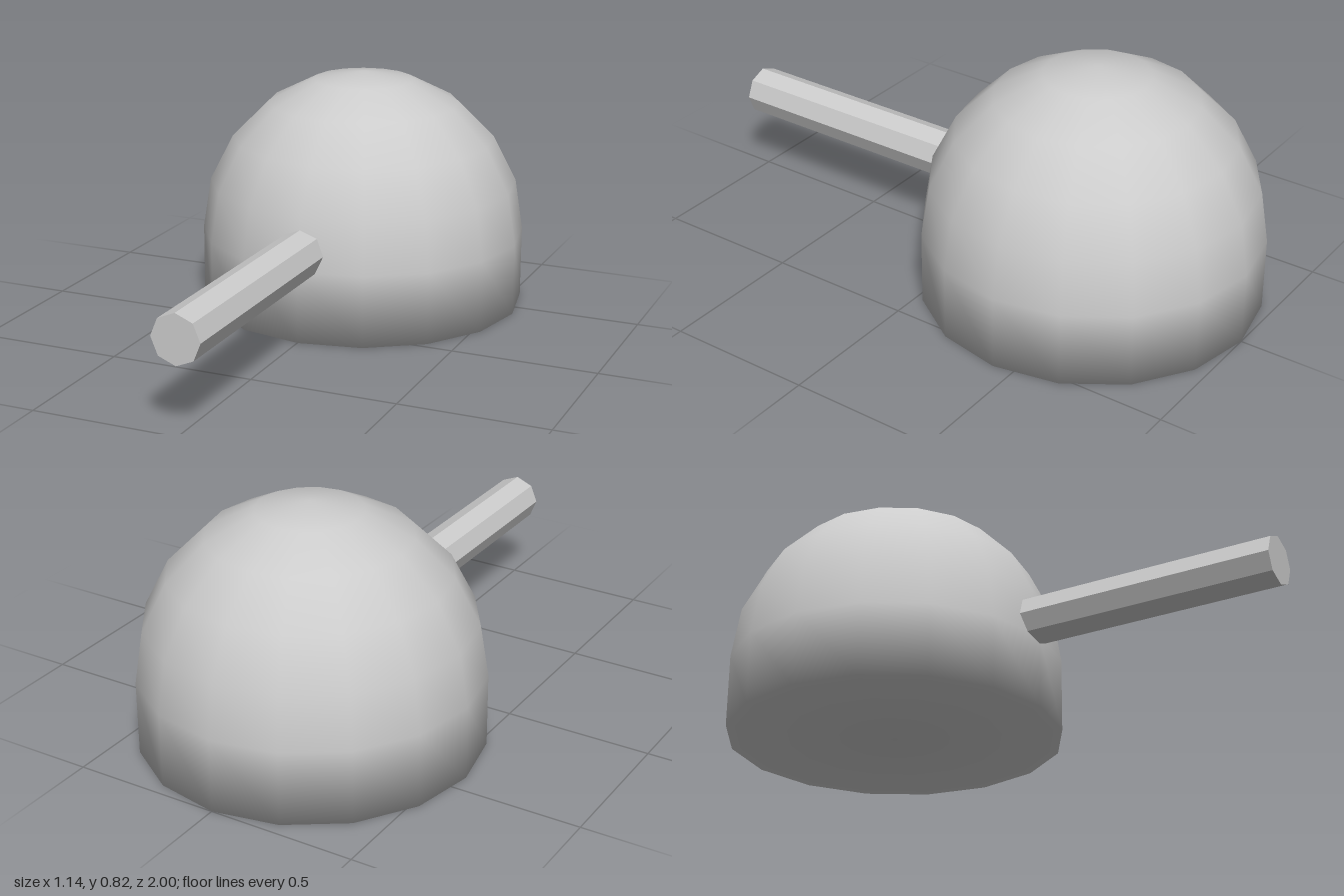
import * as THREE from 'three';
import { mergeVertices } from 'three/addons/utils/BufferGeometryUtils.js';

export function createModel() {
  const group = new THREE.Group();
  const R = 0.57, shoulder = 0.25, centreZ = -0.43;

  // Dome: closed base, short upright wall and a hemisphere, smooth all over
  const profile = [new THREE.Vector2(0, 0), new THREE.Vector2(R, 0)];
  const rings = 5;
  for (let i = 0; i <= rings; i++) {
    const a = (i / rings) * Math.PI / 2;
    profile.push(new THREE.Vector2(i === rings ? 0 : R * Math.cos(a), shoulder + R * Math.sin(a)));
  }
  let domeGeometry = new THREE.LatheGeometry(profile, 16);
  domeGeometry.deleteAttribute('normal');
  domeGeometry.deleteAttribute('uv');
  domeGeometry = mergeVertices(domeGeometry, 1e-4);
  domeGeometry.computeVertexNormals();
  const dome = new THREE.Mesh(domeGeometry, new THREE.MeshStandardMaterial({ color: 0xcccccc }));
  dome.name = 'dome';
  dome.position.z = centreZ;
  group.add(dome);

  // Barrel: eight-sided rod pointing forward out of the dome
  const back = 0, front = 1;
  const barrelGeometry = new THREE.CylinderGeometry(0.083, 0.083, front - back, 8);
  barrelGeometry.rotateX(Math.PI / 2);
  const barrel = new THREE.Mesh(
    barrelGeometry,
    new THREE.MeshStandardMaterial({ color: 0xcccccc, flatShading: true })
  );
  barrel.name = 'barrel';
  barrel.position.set(0, 0.307, (front + back) / 2);
  group.add(barrel);

  return group;
}
